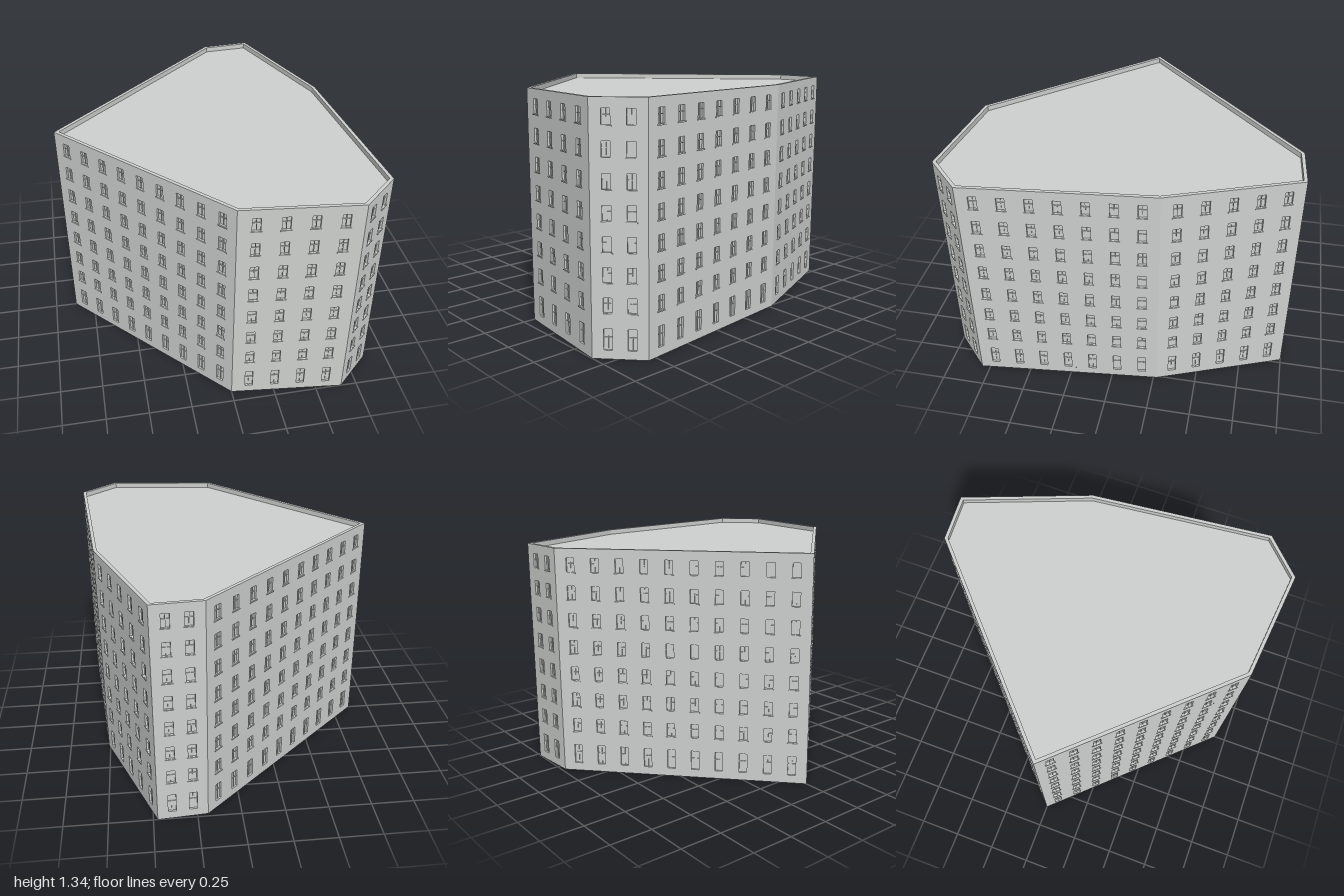
import * as THREE from 'three';
import { mergeGeometries } from 'three/addons/utils/BufferGeometryUtils.js';

const HEIGHT = 1.335, ROOF = 1.305, RIM = 0.02;
const WIN_W = 0.055, REVEAL = 0.012;

// Footprint corners [x, z, window columns on the wall that starts here, end margin]
const CORNERS = [
  [-0.87, 0, 9, 0.088],
  [0, 0.93, 4, 0.1],
  [0.655, 1.0, 2, 0.083],
  [0.867, 0.8, 7, 0.092],
  [0.76, -0.27, 5, 0.092],
  [0.475, -1.0, 2, 0.083],
  [0.19, -0.98, 10, 0.088],
];

// Window rows [centre y, height]: a taller ground floor, then seven equal floors
const ROWS = [[0.105, 0.125]];
for (let i = 0; i < 7; i++) ROWS.push([0.287 + i * 0.159, 0.09]);

function rectangle(Type, x0, y0, x1, y1) {
  return new Type([[x0, y0], [x1, y0], [x1, y1], [x0, y1]].map(p => new THREE.Vector2(...p)));
}

// Moves every side of the footprint inward by t
function insetFootprint(points, t) {
  const n = points.length;
  return points.map((p, i) => {
    const d0 = p.clone().sub(points[(i + n - 1) % n]).normalize();
    const d1 = points[(i + 1) % n].clone().sub(p).normalize();
    const n0 = new THREE.Vector2(d0.y, -d0.x), n1 = new THREE.Vector2(d1.y, -d1.x);
    const miter = n0.clone().add(n1);
    return p.clone().addScaledVector(miter, t / (1 + n0.dot(n1)));
  });
}

// One recessed window: reveal, pane, glazing bars and a slim sill
function windowParts(x, y, h, sill) {
  const w = WIN_W, edge = 0.005;
  const ring = rectangle(THREE.Shape, -w / 2, -h / 2, w / 2, h / 2);
  ring.holes.push(rectangle(THREE.Path, -w / 2 + edge, -h / 2 + edge, w / 2 - edge, h / 2 - edge));
  const box = (bw, bh, bd, by, bz) => new THREE.BoxGeometry(bw, bh, bd).translate(0, by, bz);
  const parts = [
    new THREE.ExtrudeGeometry(ring, { depth: REVEAL, bevelEnabled: false }).translate(0, 0, -REVEAL),
    new THREE.PlaneGeometry(w, h).translate(0, 0, -REVEAL),
    box(0.004, h - edge, 0.005, 0, -REVEAL + 0.0025),
    box(w - edge, 0.004, 0.0045, h * 0.08, -REVEAL + 0.00225),
  ];
  if (sill) parts.push(box(w + 0.004, 0.006, 0.008, -h / 2, 0));
  return parts.map(g => (g.index ? g.toNonIndexed() : g).translate(x, y, 0));
}

// A wall from corner a to corner b with its grid of windows
function buildWall(a, b, columns, margin, material) {
  const length = a.distanceTo(b);
  const panel = rectangle(THREE.Shape, 0, 0, length, ROOF);
  const windows = [];
  for (let c = 0; c < columns; c++) {
    const x = margin + c * (length - 2 * margin) / (columns - 1);
    ROWS.forEach(([y, h], row) => {
      panel.holes.push(rectangle(THREE.Path, x - WIN_W / 2, y - h / 2, x + WIN_W / 2, y + h / 2));
      windows.push(...windowParts(x, y, h, row > 0));
    });
  }
  const wall = new THREE.Group();
  const panelMesh = new THREE.Mesh(new THREE.ShapeGeometry(panel), material);
  panelMesh.name = 'wallPanel';
  const windowMesh = new THREE.Mesh(mergeGeometries(windows), material);
  windowMesh.name = 'windows';
  wall.add(panelMesh, windowMesh);
  wall.position.set(a.x, 0, a.y);
  wall.rotation.y = -Math.atan2(b.y - a.y, b.x - a.x);
  return wall;
}

export function createModel() {
  const model = new THREE.Group();
  model.name = 'apartmentBlock';
  const concrete = new THREE.MeshStandardMaterial({ color: 0xcdd0ce });
  concrete.name = 'pale grey concrete';

  const add = (name, geometry) => {
    const mesh = new THREE.Mesh(geometry, concrete);
    mesh.name = name;
    model.add(mesh);
  };

  // Walls, stored as (x, z) pairs
  const outer = CORNERS.map(([x, z]) => new THREE.Vector2(x, z));
  CORNERS.forEach(([, , columns, margin], i) => {
    const wall = buildWall(outer[i], outer[(i + 1) % outer.length], columns, margin, concrete);
    wall.name = 'wall' + (i + 1);
    model.add(wall);
  });

  // Parapet around the flat roof
  const flip = points => points.map(p => new THREE.Vector2(p.x, -p.y));
  const rim = new THREE.Shape(flip(outer));
  rim.holes.push(new THREE.Path(flip(insetFootprint(outer, RIM))));
  add('parapet', new THREE.ExtrudeGeometry(rim, { depth: HEIGHT - ROOF, bevelEnabled: false })
    .rotateX(-Math.PI / 2).translate(0, ROOF, 0));

  // Roof deck and underside
  add('roof', new THREE.ShapeGeometry(new THREE.Shape(flip(outer)))
    .rotateX(-Math.PI / 2).translate(0, ROOF, 0));
  add('base', new THREE.ShapeGeometry(new THREE.Shape(outer)).rotateX(Math.PI / 2));

  return model;
}
